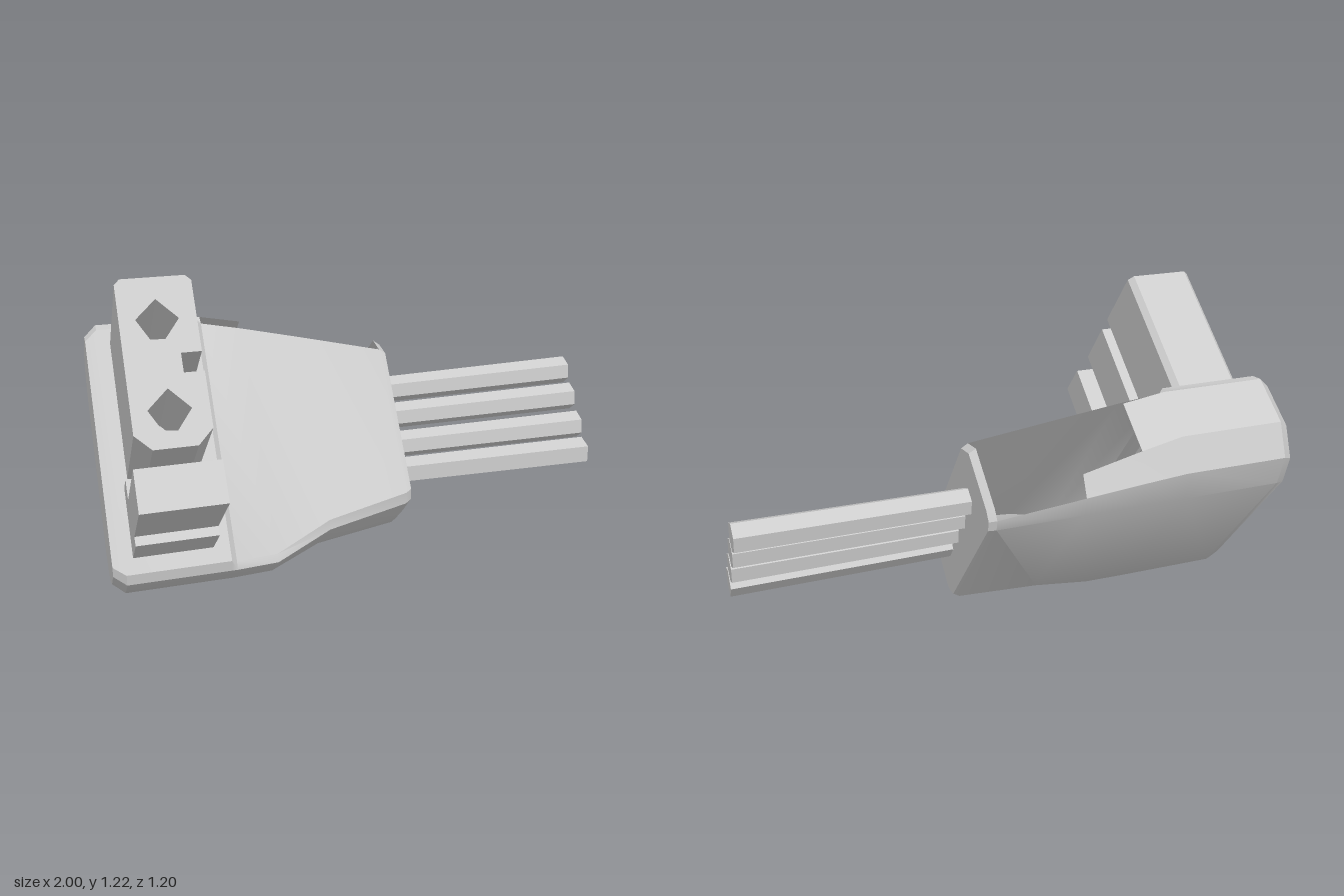
import * as THREE from 'three';
import { toCreasedNormals } from 'three/addons/utils/BufferGeometryUtils.js';

const TILT = 0.663; // the connector leans back about x

export function createModel() {
  const grey = new THREE.MeshStandardMaterial({ color: 0xcccccc, side: THREE.DoubleSide });
  grey.name = 'light grey plastic';
  const model = new THREE.Group();
  model.name = 'cableConnector';
  const tilted = new THREE.Group();
  tilted.name = 'tiltedConnector';
  tilted.rotation.x = -TILT;
  model.add(tilted);

  const add = (name, geometry) => {
    const mesh = new THREE.Mesh(geometry, grey);
    mesh.name = name;
    tilted.add(mesh);
    return mesh;
  };
  const shapeOf = (pts) => new THREE.Shape(pts.map(([a, b]) => new THREE.Vector2(a, b)));

  // Housing: cross-sections [y, z] lofted along x, from the wide head to the narrow neck
  const head = [[0, 0.295], [-0.03, 0.265], [-0.03, 0.1], [0, 0], [0.057, -0.057], [0.13, -0.09],
    [0.81, -0.09], [0.92, -0.045], [0.985, 0.07], [0.979, 0.26], [0.945, 0.295]];
  const neck = [[0.175, 0.265], [0.14, 0.235], [0.125, 0.1], [0.12, 0], [0.13, -0.03], [0.16, -0.06],
    [0.785, -0.078], [0.82, -0.06], [0.832, -0.02], [0.832, 0.219], [0.77, 0.277]];
  const n = head.length;
  const scaled = (ring, s, cy, cz) => ring.map(([y, z]) => [cy + (y - cy) * s, cz + (z - cz) * s]);
  const between = (low, high) => head.map(([y, z], j) => {
    const t = j < 6 ? low : high;
    const front = Math.min(z, 0.275);
    return [y + (neck[j][0] - y) * t, front + (neck[j][1] - front) * t];
  });
  const stations = [
    [-1, scaled(head, 0.92, 0.475, 0.1)],
    [-0.955, head],
    [-0.575, head],
    [-0.555, between(0, 0)],
    [-0.4, between(0.04, 0.2)],
    [-0.18, between(0.62, 0.52)],
    [0.14, neck],
    [0.165, scaled(neck, 0.95, 0.475, 0.1)],
  ];
  const points = [];
  const put = (i, j) => points.push(stations[i][0], ...stations[i][1][j]);
  // First station of the open slot along the upper side of the neck, per strip
  const openFrom = { 7: 5, 8: 4, 9: 3 };
  for (let i = 0; i < stations.length - 1; i++) {
    for (let j = 0; j < n; j++) {
      if (i >= (openFrom[j] ?? 99) && i < stations.length - 2) continue;
      const k = (j + 1) % n;
      put(i, j); put(i, k); put(i + 1, k);
      put(i, j); put(i + 1, k); put(i + 1, j);
    }
  }
  const last = stations.length - 1;
  for (let j = 1; j < n - 1; j++) {
    put(0, 0); put(0, j + 1); put(0, j);
    put(last, 0); put(last, j); put(last, j + 1);
  }
  const housing = new THREE.BufferGeometry();
  housing.setAttribute('position', new THREE.Float32BufferAttribute(points, 3));
  add('housing', toCreasedNormals(housing, 0.5));

  // Plug block: solid base, then a grooved front with two contact sockets
  const x0 = -0.91, x1 = -0.65, y0 = 0.3, y1 = 0.906;
  const lower = [[x0, y0 + 0.055], [x0 + 0.055, y0], [x1 - 0.055, y0], [x1, y0 + 0.055]];
  const upper = [[x1, y1 - 0.02], [x1 - 0.02, y1], [x0 + 0.02, y1], [x0, y1 - 0.02]];
  const groove = [[x1, 0.555], [x1 - 0.07, 0.555], [x1 - 0.07, 0.625], [x1, 0.625]];
  const block = (name, shape, from, to) => {
    const geometry = new THREE.ExtrudeGeometry(shape, { depth: to - from, bevelEnabled: false });
    add(name, geometry.translate(0, 0, from));
  };
  block('plugBase', shapeOf([...lower, ...upper]), 0.28, 0.415);
  const front = shapeOf([...lower, ...groove, ...upper]);
  for (const y of [0.43, 0.75]) {
    const hole = new THREE.Path();
    hole.setFromPoints([[0, 0.075], [-0.075, 0.005], [-0.035, -0.068], [0.015, -0.072], [0.07, 0]]
      .map(([dx, dy]) => new THREE.Vector2(-0.78 + dx, y + dy)));
    front.holes.push(hole);
  }
  block('plugFront', front, 0.415, 0.826);

  // Latch: stepped side profile [z, y] swept across the plug's width
  const profile = shapeOf([[0.28, 0.06], [0.503, 0.06], [0.5, 0.094], [0.832, 0.094],
    [0.828, 0.244], [0.418, 0.244], [0.418, 0.32], [0.28, 0.32]]);
  const latch = new THREE.ExtrudeGeometry(profile, { depth: 0.29, bevelEnabled: false });
  latch.rotateY(-Math.PI / 2); // profile z now runs along +z, sweep along -x
  add('latch', latch.translate(-0.635, 0, 0));

  // Four faceted wires leaving the neck, fanning out slightly
  [0.299, 0.415, 0.54, 0.658].forEach((y, i) => {
    const geometry = new THREE.CylinderGeometry(0.057, 0.053, 0.88, i ? 6 : 5).toNonIndexed();
    geometry.computeVertexNormals();
    const wire = add('wire' + (i + 1), geometry);
    wire.rotation.z = -Math.PI / 2 + (i - 1.5) * 0.007;
    wire.position.set(0.56, y, 0.108);
  });

  return model;
}
